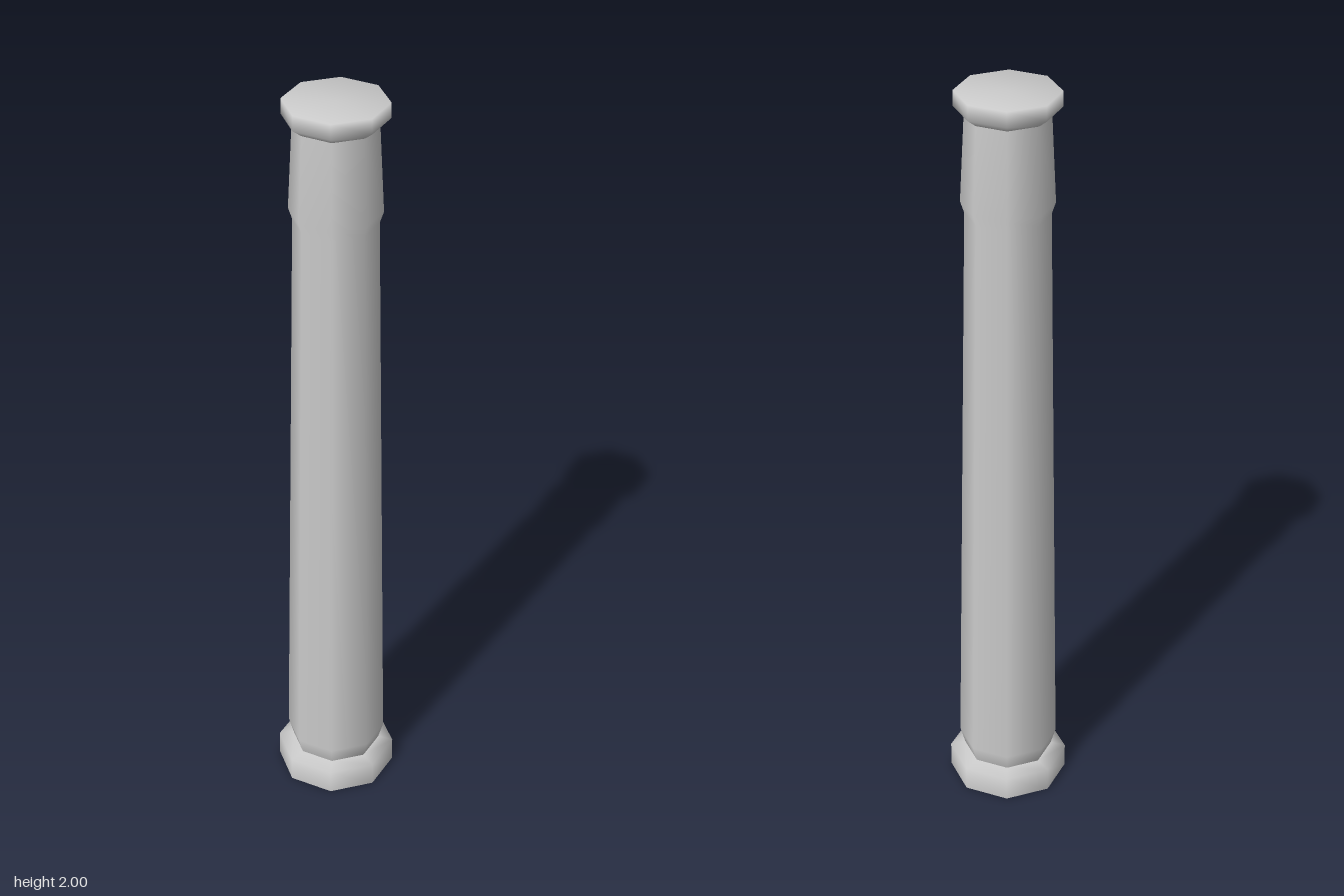
import * as THREE from 'three';

const SIDES = 8;

export function createModel() {
  const column = new THREE.Group();
  column.name = 'column';
  // Hollow shell, open underneath
  const material = new THREE.MeshStandardMaterial({ color: 0xcccccc, side: THREE.DoubleSide });

  // Turn a [radius, height] profile into an eight-sided smooth part
  function turned(name, profile) {
    const points = profile.map(([r, y]) => new THREE.Vector2(r, y));
    const mesh = new THREE.Mesh(new THREE.LatheGeometry(points, SIDES), material);
    mesh.name = name;
    column.add(mesh);
  }

  // Low plinth with a shoulder up to the shaft
  turned('base', [[0.157, 0], [0.157, 0.065], [0.118, 0.075]]);

  // Tapering shaft with a raised collar near the top
  turned('shaft', [
    [0.118, 0.075], [0.131, 0.12], [0.107, 1.68], [0.117, 1.71], [0.106, 1.94],
  ]);

  // Flared capital with a closed top
  turned('capital', [[0.106, 1.94], [0.132, 1.96], [0.132, 2], [0, 2]]);

  return column;
}
